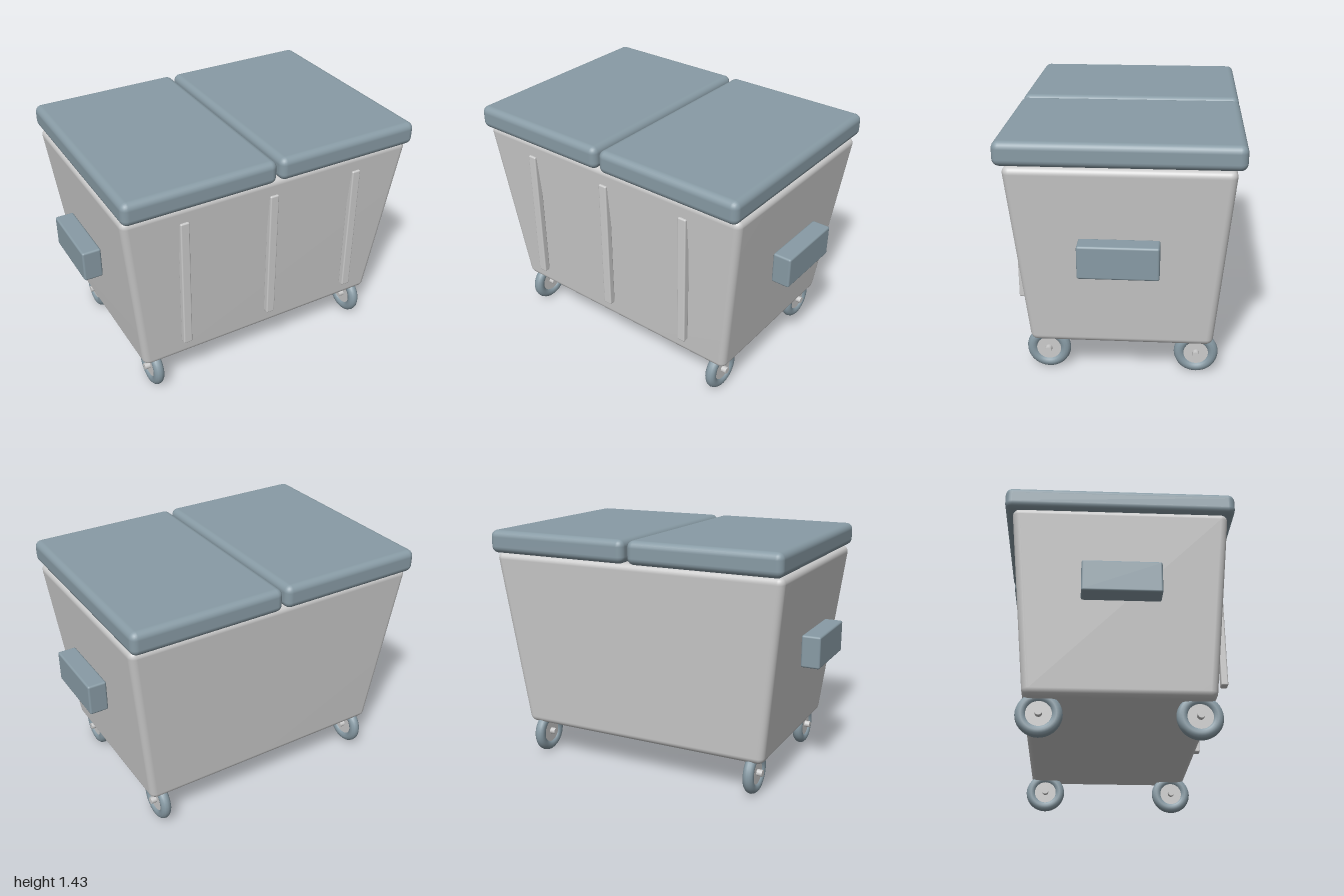
import * as THREE from 'three';
import { RoundedBoxGeometry } from 'three/addons/geometries/RoundedBoxGeometry.js';
import { mergeVertices } from 'three/addons/utils/BufferGeometryUtils.js';

const grey = new THREE.MeshStandardMaterial({ color: 0xcccccc });
const slate = new THREE.MeshStandardMaterial({ color: 0x889ba5 });

function add(parent, name, geometry, material, x = 0, y = 0, z = 0) {
  const mesh = new THREE.Mesh(geometry, material);
  mesh.name = name;
  mesh.position.set(x, y, z);
  parent.add(mesh);
  return mesh;
}

// Rounded box whose sides lean outward towards the top
function taperedBody() {
  const height = 1.09;
  let geo = new RoundedBoxGeometry(2, height, 2, 4, 0.04);
  const p = geo.attributes.position;
  for (let i = 0; i < p.count; i++) {
    const t = p.getY(i) / height + 0.5;
    // keep the corner radius round: scale only the flat core, then re-add the edge offset
    const place = (v, half) => v - Math.sign(v) * Math.min(1, Math.abs(v) / 0.96) * (1 - half);
    p.setX(i, place(p.getX(i), THREE.MathUtils.lerp(0.79, 0.914, t)));
    p.setZ(i, place(p.getZ(i), THREE.MathUtils.lerp(0.517, 0.611, t)));
  }
  geo.deleteAttribute('uv');
  geo.deleteAttribute('normal');
  geo = mergeVertices(geo, 1e-4);
  geo.computeVertexNormals();
  return geo;
}

// Caster: tyre, recessed hub and protruding axle, all turning about x
function wheel(name, x, z) {
  const group = new THREE.Group();
  group.name = name;
  group.position.set(x, 0.13, z);
  add(group, 'tyre', new THREE.TorusGeometry(0.095, 0.032, 12, 36).rotateY(Math.PI / 2), slate);
  add(group, 'hub', new THREE.CylinderGeometry(0.075, 0.075, 0.038, 32).rotateZ(Math.PI / 2), grey);
  add(group, 'axle', new THREE.CylinderGeometry(0.02, 0.02, 0.104, 20).rotateZ(Math.PI / 2), grey);
  return group;
}

export function createModel() {
  const model = new THREE.Group();
  model.name = 'wheeledBin';

  add(model, 'body', taperedBody(), grey, 0, 0.755, 0);

  // Front ribs
  for (const x of [-0.555, 0, 0.555]) {
    add(model, 'frontRib', new RoundedBoxGeometry(0.054, 0.82, 0.04, 2, 0.008), grey, x, 0.79, 0.595);
  }

  // Mirrored lids, side handles and wheels
  for (const side of [-1, 1]) {
    const label = side > 0 ? 'left' : 'right';
    add(model, label + 'Lid', new RoundedBoxGeometry(0.908, 0.136, 1.31, 3, 0.04), slate, side * 0.464, 1.37, 0);
    add(model, label + 'Handle', new RoundedBoxGeometry(0.112, 0.188, 0.436, 2, 0.012), slate, side * 0.944, 0.815, 0);
    model.add(wheel(label + 'FrontWheel', side * 0.71, 0.426));
    model.add(wheel(label + 'BackWheel', side * 0.71, -0.426));
  }
  return model;
}
